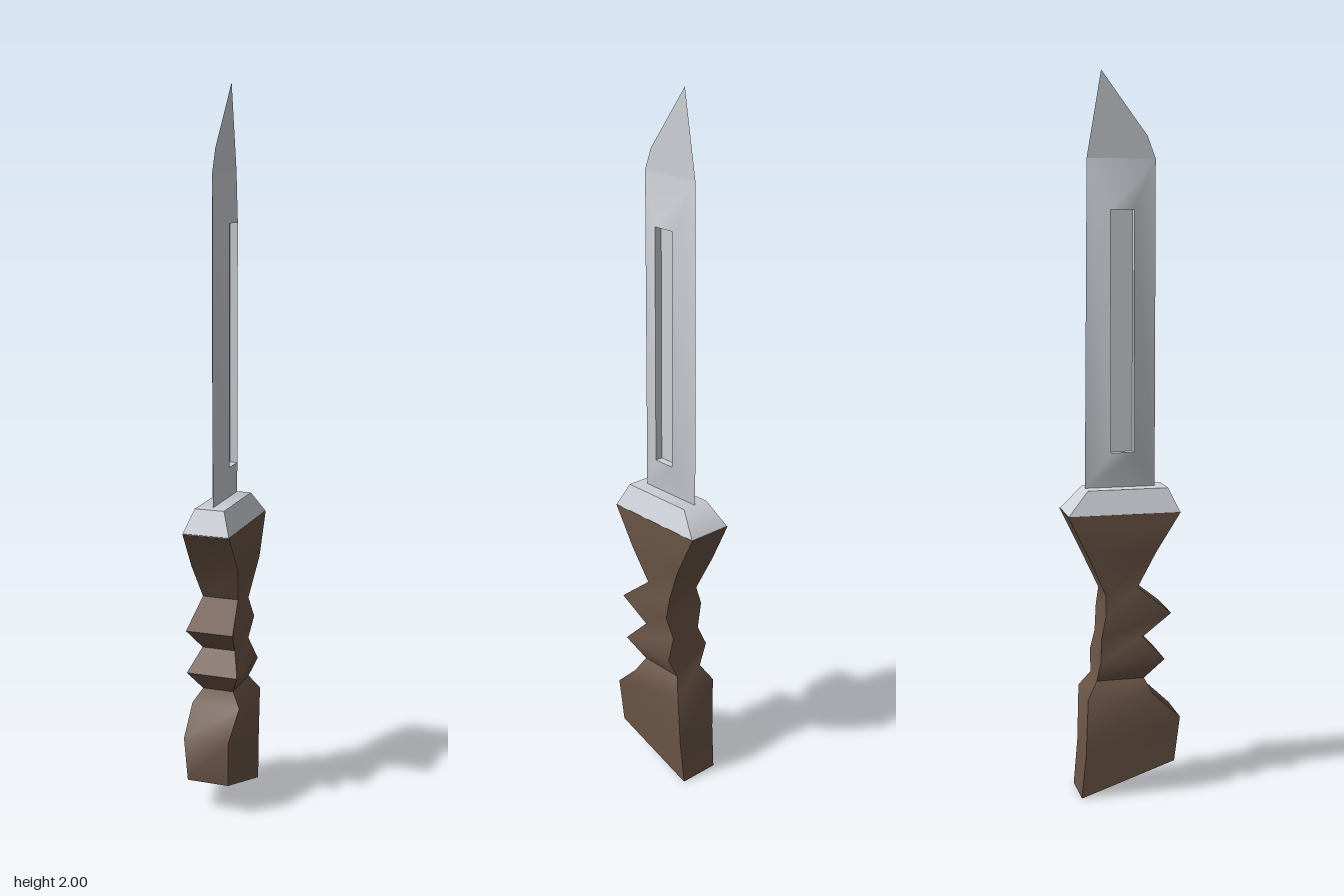
import * as THREE from 'three';
import { toCreasedNormals } from 'three/addons/utils/BufferGeometryUtils.js';

// Skins a stack of four-cornered rings; caps close the first and last ring.
function loft(rings, capStart = true, crease = 0.95) {
  const pos = [];
  const quad = (a, b, c, d) => pos.push(...a, ...b, ...c, ...a, ...c, ...d);
  for (let r = 0; r + 1 < rings.length; r++) {
    for (let i = 0; i < 4; i++) {
      const j = (i + 1) % 4;
      quad(rings[r][i], rings[r][j], rings[r + 1][j], rings[r + 1][i]);
    }
  }
  if (capStart) quad(...[...rings[0]].reverse());
  quad(...rings[rings.length - 1]);
  const g = new THREE.BufferGeometry();
  g.setAttribute('position', new THREE.Float32BufferAttribute(pos, 3));
  return toCreasedNormals(g, crease);
}

// Tilted rectangular section: half width, front z/y, back z/y.
const section = ([w, zf, yf, zb, yb]) => [[w, yf, zf], [w, yb, zb], [-w, yb, zb], [-w, yf, zf]];

export function createModel() {
  const model = new THREE.Group();
  const steel = new THREE.MeshStandardMaterial({ color: 0xcfd1d8 });
  steel.name = 'steel';
  const grip = new THREE.MeshStandardMaterial({ color: 0x6b5547 });
  grip.name = 'brown grip';
  const add = (parent, name, geometry, material) => {
    const mesh = new THREE.Mesh(geometry, material);
    mesh.name = name;
    parent.add(mesh);
  };

  // Handle with finger notches on the front, from pommel to guard
  add(model, 'handle', loft([
    [0.06, 0.145, 0.09, -0.122, 0.0],
    [0.065, 0.16, 0.22, -0.11, 0.13],
    [0.07, 0.08, 0.295, -0.105, 0.29],
    [0.045, 0.06, 0.335, -0.075, 0.335],
    [0.074, 0.112, 0.395, -0.07, 0.395],
    [0.048, 0.055, 0.455, -0.062, 0.455],
    [0.068, 0.132, 0.525, -0.054, 0.525],
    [0.052, 0.04, 0.6, -0.05, 0.58],
    [0.068, 0.088, 0.7, -0.1, 0.69],
    [0.067, 0.158, 0.81, -0.158, 0.81],
  ].map(section)), grip);

  // Guard
  add(model, 'guard', loft([
    [0.067, 0.158, 0.808, -0.158, 0.808],
    [0.042, 0.128, 0.875, -0.098, 0.875],
  ].map(section)), steel);

  // Blade: each side swells from a sharp outline to the rim of a sunken groove
  const blade = new THREE.Group();
  blade.name = 'blade';
  model.add(blade);
  const outline = [[0.1, 0.87], [-0.098, 0.87], [-0.09, 1.77], [0.1, 1.77]];
  const groove = [[0.035, 0.975], [-0.03, 0.975], [-0.03, 1.635], [0.035, 1.635]];
  const tip = [[0.1, 1.77], [-0.09, 1.77], [-0.05, 2], [0.077, 1.83]];
  for (const s of [1, -1]) {
    const ring = (points, x) => {
      const r = points.map(([z, y]) => [s * x, y, z]);
      return s > 0 ? r : r.reverse();
    };
    const side = s > 0 ? 'left' : 'right';
    add(blade, side + 'BladeFace',
      loft([ring(outline, 0), ring(groove, 0.025), ring(groove, 0.003)], false), steel);
    add(blade, side + 'BladeTip', loft([ring(tip, 0)], false), steel);
  }
  return model;
}
